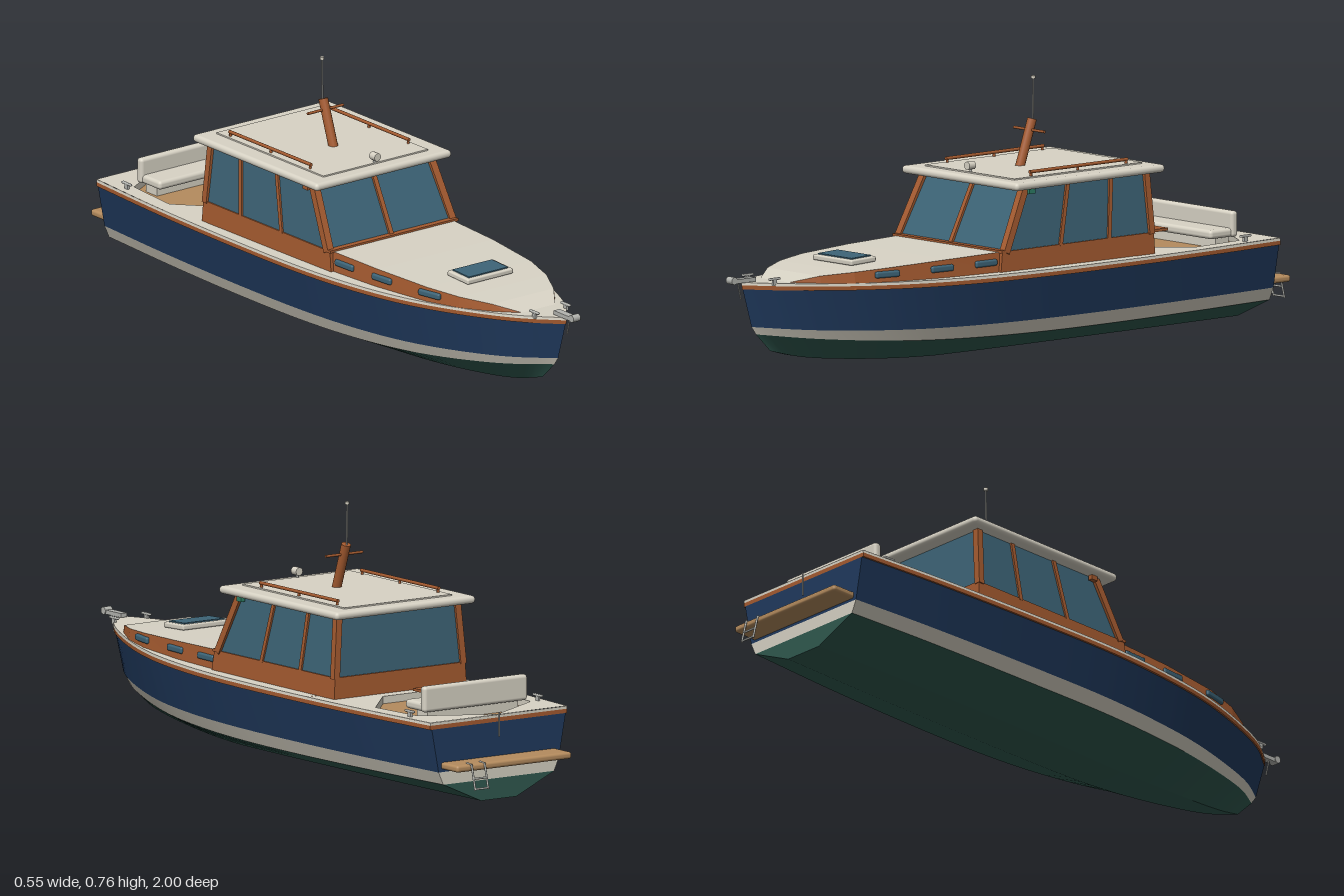
import * as THREE from 'three';
import { RoundedBoxGeometry } from 'three/addons/geometries/RoundedBoxGeometry.js';

const mat = (name, color, side = THREE.FrontSide) => {
  const m = new THREE.MeshStandardMaterial({ color, side });
  m.name = name;
  return m;
};
const V = (x, y, z) => new THREE.Vector3(x, y, z);

// Smooth curve through [position, value] pairs
function table(pairs) {
  const c = new THREE.CubicInterpolant(pairs.map(p => p[0]), pairs.map(p => p[1]), 1, new Float32Array(1));
  return t => c.evaluate(t)[0];
}

// Surface through rows of points; it faces (row direction) x (column direction)
function grid(rows, flat = false) {
  const n = rows[0].length, idx = [];
  for (let i = 0; i < rows.length - 1; i++)
    for (let j = 0; j < n - 1; j++) {
      const a = i * n + j, b = a + n;
      idx.push(a, b, b + 1, a, b + 1, a + 1);
    }
  let g = new THREE.BufferGeometry().setFromPoints(rows.flat());
  g.setIndex(idx);
  if (flat) g = g.toNonIndexed();
  g.computeVertexNormals();
  return g;
}
const flip = p => V(-p.x, p.y, p.z);

export function createModel() {
  const boat = new THREE.Group();
  boat.name = 'cabinCruiser';
  const navy = mat('navy', 0x203a5e), cream = mat('cream', 0xd8d3c5, THREE.DoubleSide);
  const green = mat('bottomGreen', 0x30594f), wood = mat('varnishedWood', 0xa55b30);
  const teak = mat('teak', 0xb58c5e), glass = mat('glass', 0x3d6477);
  const metal = mat('metal', 0xb4b5b0), navGreen = mat('navGreen', 0x2f8068);

  const add = (name, geo, m, x = 0, y = 0, z = 0) => {
    const o = new THREE.Mesh(geo, m);
    o.name = name;
    o.position.set(x, y, z);
    boat.add(o);
    return o;
  };
  const box = (name, m, w, h, d, x, y, z) => add(name, new THREE.BoxGeometry(w, h, d), m, x, y, z);
  const soft = (name, m, w, h, d, r, x, y, z) => add(name, new RoundedBoxGeometry(w, h, d, 3, r), m, x, y, z);
  const span = (name, m, geo, a, b) => {
    const o = add(name, geo, m);
    o.position.copy(a).lerp(b, 0.5);
    o.quaternion.setFromUnitVectors(V(0, 1, 0), b.clone().sub(a).normalize());
    return o;
  };
  const beam = (name, m, a, b, w, d) => span(name, m, new THREE.BoxGeometry(w, a.distanceTo(b), d), a, b);
  const rod = (name, m, a, b, r) => span(name, m, new THREE.CylinderGeometry(r, r, a.distanceTo(b), 12), a, b);

  // Hull lines, each running from the transom (t = 0) to the stem (t = 1)
  const width = table([[-0.9, 0.24], [-0.6, 0.26], [-0.2, 0.272], [0.1, 0.27], [0.3, 0.252],
    [0.5, 0.215], [0.7, 0.147], [0.85, 0.075], [0.95, 0]].map(([z, w]) => [(z + 0.9) / 1.85, w]));
  const sheer = table([[0, 0.243], [0.3, 0.244], [0.5, 0.246], [0.7, 0.25], [0.86, 0.258], [1, 0.27]]);
  const keelY = table([[0, 0], [0.4, 0], [0.69, 0.001], [0.86, 0.02], [0.95, 0.04], [1, 0.062]]);
  const chineY = table([[0, 0.06], [0.5, 0.06], [0.75, 0.073], [0.9, 0.094], [1, 0.115]]);
  const stripeY = table([[0, 0.097], [0.5, 0.1], [0.75, 0.108], [0.9, 0.122], [1, 0.138]]);
  const N = 40;
  const line = (scale, y, bow, out = 0) => Array.from({ length: N + 1 }, (_, i) => {
    const t = 1 - (1 - i / N) ** 1.4;
    const w = Math.max(0, width(t));
    return V(w * scale + (i < N ? out : 0), Math.max(0, y(t)), -0.9 + t * (bow + 0.9));
  });
  const keel = line(0, keelY, 0.84), flat = line(0.26, keelY, 0.84);
  const chine = line(0.816, chineY, 0.895), stripe = line(0.885, stripeY, 0.912);
  const top = line(0.985, t => sheer(t) - 0.02, 0.946);
  const railLow = line(1, t => sheer(t) - 0.02, 0.948, 0.002);
  const railTop = line(1, t => sheer(t) - 0.008, 0.95, 0.002);
  const edge = line(1, sheer, 0.95, 0.001);

  // One hull strake on both sides, closed across the transom
  const strake = (name, lo, hi, m) => {
    add(name + 'Left', grid([lo, hi]), m);
    add(name + 'Right', grid([hi.map(flip), lo.map(flip)]), m);
    add(name + 'Transom', grid([[flip(lo[0]), lo[0]], [flip(hi[0]), hi[0]]]), m);
  };
  strake('keel', keel, flat, green);
  strake('bottom', flat, chine, green);
  strake('bootStripe', chine, stripe, cream);
  strake('topsides', stripe, top, navy);
  strake('rubRailUnderside', top, railLow, wood);
  strake('rubRail', railLow, railTop, wood);
  strake('gunwale', railTop, edge, cream);

  // Foredeck and the aft deck with its cockpit well
  const cut = edge.findIndex(p => p.z > -0.4);
  add('foreDeck', grid(edge.slice(cut).map(p => [flip(p), V(0, p.y, p.z), p])), cream);
  const aft = edge.slice(0, cut + 1);
  const shape = new THREE.Shape([...aft, ...aft.map(flip).reverse()].map(p => new THREE.Vector2(p.x, -p.z)));
  const half = [[0.09, -0.465], [0.215, -0.6], [0.2, -0.78], [0.004, -0.892]];
  const well = [...half, ...half.map(([x, z]) => [-x, z]).reverse()];
  const wellPath = well.map(([x, z]) => new THREE.Vector2(x, -z));
  shape.holes.push(new THREE.Path(wellPath));
  add('aftDeck', new THREE.ShapeGeometry(shape).rotateX(-Math.PI / 2), cream, 0, 0.2435, 0);
  add('cockpitSole', new THREE.ShapeGeometry(new THREE.Shape(wellPath)).rotateX(-Math.PI / 2), teak, 0, 0.222, 0);
  const rim = [...well, well[0]];
  add('cockpitWall', grid([0.222, 0.2435].map(y => rim.map(([x, z]) => V(x, y, z))), true), cream);

  // Low forward cabin: wooden sides, sloping cream top
  const plan = [[0.13, 0.22, 0.304], [0.35, 0.21, 0.3], [0.55, 0.188, 0.294], [0.66, 0.158, 0.288],
    [0.75, 0.112, 0.281], [0.83, 0.055, 0.262]];
  const cabinTop = plan.map(([z, x, y]) => V(x, y, z)), cabinBase = plan.map(([z, x]) => V(x + 0.007, 0.24, z));
  add('cabinSideLeft', grid([cabinBase, cabinTop], true), wood);
  add('cabinSideRight', grid([cabinTop.map(flip), cabinBase.map(flip)], true), wood);
  add('cabinTop', grid(cabinTop.map(p => [flip(p), p]), true), cream);
  const cabinX = table(plan.map(([z, x]) => [z, x]));
  for (const s of [-1, 1])
    for (const z of [0.21, 0.37, 0.56]) {
      const port = soft('porthole', glass, 0.014, 0.019, 0.08, 0.006, s * (cabinX(z) + 0.002), 0.276, z);
      port.rotation.y = s * Math.atan2(cabinX(z + 0.03) - cabinX(z - 0.03), 0.06);
    }
  soft('hatchFrame', cream, 0.166, 0.016, 0.096, 0.005, 0, 0.302, 0.555).rotation.x = 0.04;
  box('hatchGlass', glass, 0.142, 0.005, 0.074, 0, 0.311, 0.555).rotation.x = 0.04;

  // Wheelhouse: wooden base, glass, pillars
  const prism = (name, m, ...levels) => {
    const rows = levels.map(([y, x, a, b]) =>
      [V(x, y, a), V(x, y, b), V(-x, y, b), V(-x, y, a), V(x, y, a)]);
    const last = levels[levels.length - 1];
    rows.push(rows[0].map(() => V(0, last[0], (last[2] + last[3]) / 2)));
    add(name, grid(rows, true), m);
  };
  prism('wheelhouseBase', wood, [0.238, 0.234, -0.427, 0.166], [0.305, 0.23, -0.425, 0.156]);
  prism('wheelhouseGlass', glass, [0.303, 0.226, -0.42, 0.145], [0.478, 0.21, -0.412, 0.056]);
  for (const s of [-1, 1]) {
    beam('frontPillar', wood, V(s * 0.223, 0.3, 0.142), V(s * 0.208, 0.48, 0.054), 0.022, 0.022);
    beam('rearPillar', wood, V(s * 0.224, 0.3, -0.417), V(s * 0.209, 0.48, -0.409), 0.02, 0.02);
    beam('sideMullion', wood, V(s * 0.225, 0.3, -0.068), V(s * 0.21, 0.48, -0.11), 0.012, 0.013);
    beam('sideMullion', wood, V(s * 0.225, 0.3, -0.255), V(s * 0.21, 0.48, -0.275), 0.012, 0.013);
  }
  beam('frontMullion', wood, V(0, 0.3, 0.148), V(0, 0.48, 0.056), 0.014, 0.012);
  box('windowSill', wood, 0.466, 0.008, 0.022, 0, 0.305, 0.15);
  box('sideLightLeft', navGreen, 0.014, 0.014, 0.022, 0.222, 0.468, 0.04);
  box('sideLightRight', wood, 0.014, 0.014, 0.022, -0.222, 0.468, 0.04);

  // Roof, grab rails, lamp and mast
  soft('roof', cream, 0.494, 0.023, 0.572, 0.011, 0, 0.4875, -0.17);
  box('roofPanel', cream, 0.38, 0.006, 0.49, 0, 0.5, -0.17);
  for (const s of [-1, 1]) {
    rod('grabRail', wood, V(s * 0.178, 0.515, 0.005), V(s * 0.178, 0.515, -0.37), 0.005);
    for (const z of [0, -0.18, -0.365]) rod('grabRailPost', wood, V(s * 0.178, 0.495, z), V(s * 0.178, 0.515, z), 0.004);
  }
  rod('lampStem', metal, V(0, 0.498, 0.07), V(0, 0.515, 0.07), 0.004);
  rod('searchLamp', cream, V(0, 0.521, 0.06), V(0, 0.521, 0.085), 0.012);
  rod('mast', wood, V(0, 0.498, -0.118), V(0, 0.632, -0.165), 0.014);
  rod('mastCrossbar', wood, V(-0.065, 0.602, -0.155), V(0.065, 0.602, -0.155), 0.004);
  rod('antenna', metal, V(0, 0.62, -0.168), V(0, 0.75, -0.17), 0.0025);
  rod('antennaTip', cream, V(0, 0.748, -0.17), V(0, 0.756, -0.17), 0.006);

  // Cockpit bench and table
  soft('benchCushion', cream, 0.356, 0.026, 0.09, 0.01, 0, 0.264, -0.735);
  soft('benchBack', cream, 0.366, 0.075, 0.025, 0.01, 0, 0.288, -0.78);
  box('benchBase', cream, 0.32, 0.03, 0.05, 0, 0.237, -0.75);
  box('tableTop', wood, 0.112, 0.008, 0.072, 0, 0.274, -0.6);
  rod('tableLeg', metal, V(0, 0.222, -0.6), V(0, 0.272, -0.6), 0.008);

  // Swim platform and boarding ladder
  soft('swimPlatform', teak, 0.406, 0.02, 0.085, 0.008, 0, 0.115, -0.935);
  for (const x of [0.107, 0.153]) {
    rod('ladderHook', metal, V(x, 0.126, -0.955), V(x, 0.124, -0.978), 0.003);
    rod('ladderRail', metal, V(x, 0.125, -0.978), V(x, 0.052, -0.996), 0.003);
  }
  for (const k of [0.55, 0.95])
    rod('ladderRung', metal, V(0.107, 0.125 - 0.073 * k, -0.978 - 0.018 * k), V(0.153, 0.125 - 0.073 * k, -0.978 - 0.018 * k), 0.003);
  rod('transomStaff', metal, V(0, 0.18, -0.903), V(0, 0.25, -0.903), 0.002);

  // Bow roller, anchor and cleats
  box('bowRoller', metal, 0.022, 0.012, 0.08, 0, 0.276, 0.945);
  rod('rollerWheel', metal, V(-0.013, 0.279, 0.988), V(0.013, 0.279, 0.988), 0.011);
  rod('anchorShank', metal, V(0, 0.222, 0.953), V(0, 0.272, 0.965), 0.002);
  const cleat = (x, y, z) => {
    box('cleatFoot', metal, 0.007, 0.016, 0.014, x, y + 0.006, z);
    soft('cleatHorn', metal, 0.009, 0.007, 0.042, 0.003, x, y + 0.016, z);
  };
  for (const s of [-1, 1]) {
    cleat(s * 0.057, 0.263, 0.875);
    cleat(s * 0.226, 0.243, -0.78);
  }
  return boat;
}
